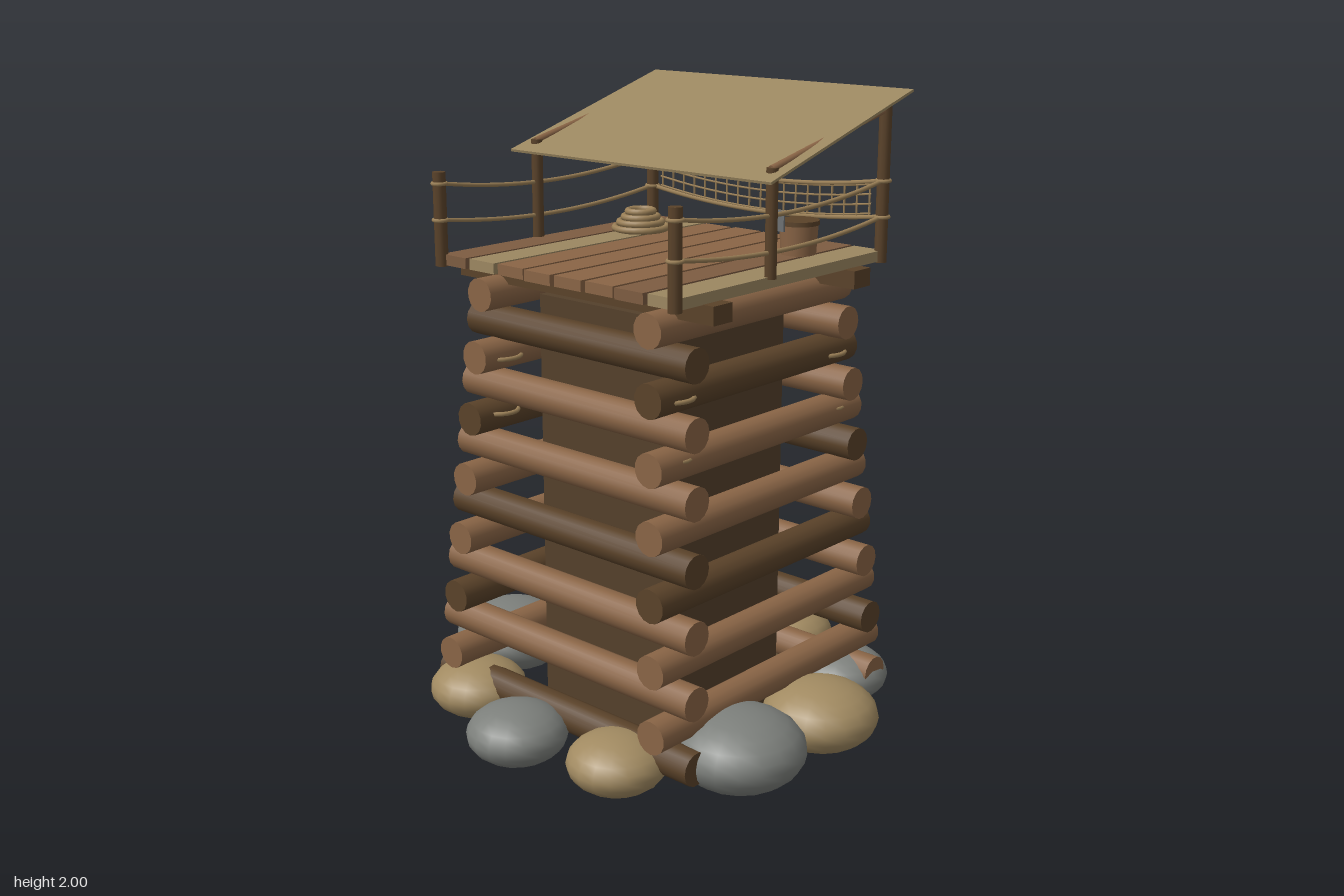
import * as THREE from 'three';

const mat = (name, color, side = THREE.FrontSide) => {
  const m = new THREE.MeshStandardMaterial({ color, side });
  m.name = name;
  return m;
};

export function createModel() {
  const wood = mat('warm wood', 0x8a6546);
  const darkWood = mat('dark wood', 0x5a4229);
  const coreWood = mat('shadow wood', 0x54402b);
  const plankWood = mat('plank brown', 0x7d5c41);
  const paleWood = mat('pale wood', 0x9c8761);
  const canvas = mat('canvas', 0x9b8760, THREE.DoubleSide);
  const ropeTan = mat('rope', 0x9a7f56);
  const greyStone = mat('grey stone', 0x7c7f7b);
  const tanStone = mat('tan stone', 0xa18a61);
  const metal = mat('metal', 0x6d7072);

  const model = new THREE.Group();
  const CX = 0.016, CZ = -0.013;   // tower axis

  const add = (name, geo, material, x = 0, y = 0, z = 0) => {
    const m = new THREE.Mesh(geo, material);
    m.name = name;
    m.position.set(x, y, z);
    model.add(m);
    return m;
  };
  const box = (name, material, w, h, d, x, y, z) =>
    add(name, new THREE.BoxGeometry(w, h, d), material, x, y, z);

  // round bar between two points
  const bar = (name, material, a, b, r, sides = 8) => {
    const p = new THREE.Vector3(...a), q = new THREE.Vector3(...b);
    const m = add(name, new THREE.CylinderGeometry(r, r, p.distanceTo(q), sides), material);
    m.position.copy(p).add(q).multiplyScalar(0.5);
    m.quaternion.setFromUnitVectors(new THREE.Vector3(0, 1, 0), q.sub(p).normalize());
    return m;
  };
  // rope sagging between two points
  const rope = (name, a, b, sag, r) => {
    const p = new THREE.Vector3(...a), q = new THREE.Vector3(...b), pts = [];
    for (let i = 0; i <= 8; i++) {
      const t = i / 8, v = p.clone().lerp(q, t);
      v.y -= sag * 4 * t * (1 - t);
      pts.push(v);
    }
    return add(name, new THREE.TubeGeometry(new THREE.CatmullRomCurve3(pts), 20, r, 6), ropeTan);
  };

  // boulders: x, z, radius, in alternating colours
  [
    [-0.26, -0.54, 0.2], [0.085, -0.583, 0.16], [0.42, -0.455, 0.15], [0.575, -0.13, 0.182],
    [0.547, 0.23, 0.203], [0.302, 0.5, 0.153], [-0.05, 0.573, 0.157], [-0.38, 0.435, 0.156],
    [-0.568, 0.105, 0.197], [-0.507, -0.265, 0.192],
  ].forEach(([x, z, r], i) => {
    const ry = r * 0.58;
    const s = add('boulder', new THREE.SphereGeometry(1, 18, 12), i % 2 ? tanStone : greyStone, x, ry + 0.012, z);
    s.scale.set(r, ry, r);
    s.rotation.y = i;
  });

  // inner core
  box('towerCore', coreWood, 0.53, 1.39, 0.53, CX, 0.695, CZ);

  // stacked, tapering log courses, alternating direction
  for (let i = 0; i < 14; i++) {
    const y = 0.135 + 0.0975 * i;
    const half = 0.535 - 0.0072 * i, off = 0.441 - 0.0075 * i;
    for (const s of [-1, 1]) {
      if (i % 2 === 0) {
        const dark = i % 6 === (s > 0 ? 0 : 2);
        bar('crossLog', dark ? darkWood : wood, [CX - half, y, CZ + s * off], [CX + half, y, CZ + s * off], 0.052, 14);
      } else {
        const dark = i % 6 === (s > 0 ? 5 : 3);
        bar('sideLog', dark ? darkWood : wood, [CX + s * off, y, CZ - half], [CX + s * off, y, CZ + half], 0.052, 14);
      }
    }
  }

  // rope lashings at the upper corners
  for (const [y, off, r] of [[1.2, 0.355, 0.066], [1.025, 0.36, 0.06]])
    for (const sx of [-1, 1]) for (const sz of [-1, 1]) {
      const t = add('lashing', new THREE.TorusGeometry(r, 0.007, 6, 20), ropeTan, CX + sx * off, y, CZ + sz * off);
      t.rotation.x = Math.PI / 2;
    }

  // platform beams and deck planks
  for (const z of [0.31, -0.335]) box('deckBeam', darkWood, 1.03, 0.055, 0.08, CX, 1.457, z);
  const plankMats = [plankWood, paleWood, wood, wood, wood, wood, plankWood, paleWood];
  plankMats.forEach((m, i) =>
    box('deckPlank', m, 0.107, 0.033, 0.955 - (i % 3) * 0.008, -0.404 + 0.1205 * i, 1.5, CZ - 0.005));

  // posts, rafters and side ropes
  const LX = -0.457, RX = 0.49, FZ = 0.46, MZ = 0.055, BZ = -0.484;
  for (const x of [LX, RX]) {
    bar('frontPost', darkWood, [x, 1.48, FZ], [x, 1.765, FZ], 0.02, 10);
    bar('middlePost', darkWood, [x, 1.51, MZ], [x, 1.825, MZ], 0.018, 10);
    bar('backPost', darkWood, [x, 1.48, BZ], [x, 1.955, BZ], 0.02, 10);
    bar('rafter', wood, [x, 1.82, MZ + 0.005], [x, 1.945, BZ], 0.012);
    rope('sideRope', [x, 1.73, FZ], [x, 1.73, BZ], 0.04, 0.007);
    rope('sideRope', [x, 1.62, FZ], [x, 1.62, BZ], 0.035, 0.007);
    for (const [z, h] of [[FZ, 1.73], [FZ, 1.62], [BZ, 1.73], [BZ, 1.62]]) {
      const k = add('ropeKnot', new THREE.TorusGeometry(0.021, 0.006, 6, 14), ropeTan, x, h, z);
      k.rotation.x = Math.PI / 2;
    }
  }

  // back ropes with net
  rope('backRope', [LX, 1.73, BZ], [RX, 1.73, BZ], 0.04, 0.007);
  rope('backRope', [LX, 1.62, BZ], [RX, 1.62, BZ], 0.035, 0.007);
  for (let j = 0; j < 4; j++)
    rope('netStrand', [LX + 0.04, 1.715 - j * 0.03, BZ], [RX - 0.04, 1.715 - j * 0.03, BZ], 0.032, 0.0035);
  for (let i = 0; i < 19; i++) {
    const t = (i + 1) / 20, x = LX + (RX - LX) * t, drop = 0.15 * t * (1 - t);
    bar('netTie', ropeTan, [x, 1.73 - drop, BZ], [x, 1.615 - drop * 0.9, BZ], 0.0035, 5);
  }

  // sloping canvas roof
  const roof = box('canvasRoof', canvas, 1.045, 0.008, Math.hypot(0.675, 0.205), CX, 1.8945, -0.217);
  roof.rotation.x = Math.atan2(0.205, 0.675);

  // coiled rope, bucket and hanging blade
  [[0.085, 1.527], [0.07, 1.545], [0.055, 1.562], [0.042, 1.58]].forEach(([r, y]) => {
    const c = add('ropeCoil', new THREE.TorusGeometry(r, 0.011, 8, 24), ropeTan, -0.29, y, -0.245);
    c.rotation.x = Math.PI / 2;
  });
  add('bucket', new THREE.CylinderGeometry(0.06, 0.054, 0.1, 14), wood, 0.338, 1.567, -0.27);
  add('bucketRim', new THREE.CylinderGeometry(0.063, 0.063, 0.014, 14), darkWood, 0.338, 1.614, -0.27);
  box('hangingBlade', metal, 0.03, 0.06, 0.006, RX - 0.02, 1.665, -0.01);

  return model;
}
